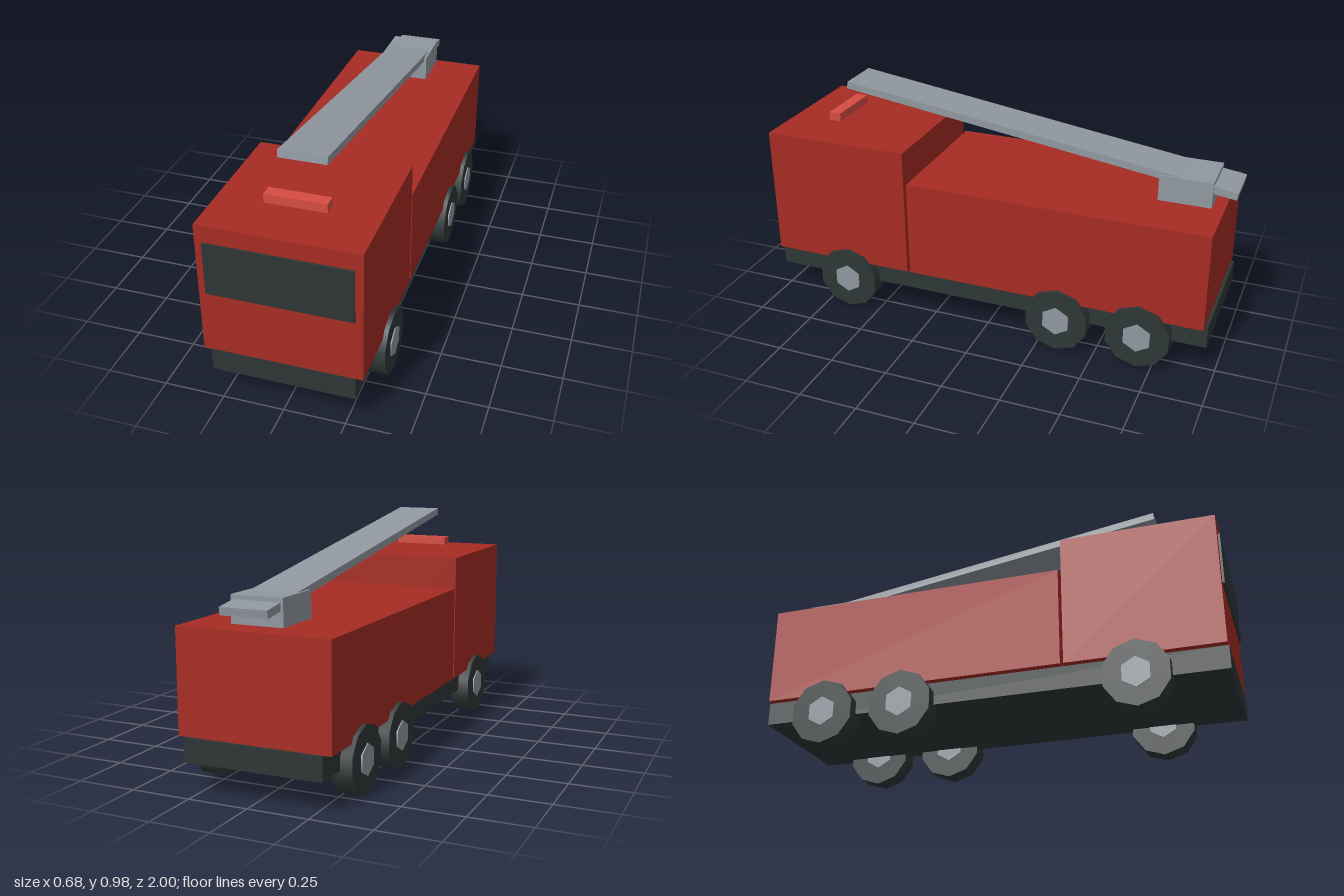
import * as THREE from 'three';

export function createModel() {
  const truck = new THREE.Group();
  truck.name = 'fireTruck';

  const paint = (name, color) => {
    const m = new THREE.MeshStandardMaterial({ color });
    m.name = name;
    return m;
  };
  const red = paint('red', 0xa62c23);
  const lightRed = paint('lightRed', 0xd64c42);
  const dark = paint('dark', 0x2e3636);
  const grey = paint('grey', 0x9098a0);

  const add = (name, geometry, material, parent = truck) => {
    const mesh = new THREE.Mesh(geometry, material);
    mesh.name = name;
    parent.add(mesh);
    return mesh;
  };

  // Box centred on x = 0, given its half width and its y and z ranges
  const block = (name, material, halfWidth, y0, y1, z0, z1) => {
    const mesh = add(name, new THREE.BoxGeometry(halfWidth * 2, y1 - y0, z1 - z0), material);
    mesh.position.set(0, (y0 + y1) / 2, (z0 + z1) / 2);
    return mesh;
  };

  // Chassis, cab and rear body
  block('chassis', dark, 0.288, 0.127, 0.223, -0.963, 0.993);
  block('cab', red, 0.319, 0.223, 0.782, 0.351, 0.99);
  block('rearBody', red, 0.319, 0.223, 0.643, -0.95, 0.338);
  block('windscreen', dark, 0.288, 0.49, 0.712, 0.991, 1.0);
  block('lightBar', lightRed, 0.124, 0.797, 0.833, 0.745, 0.799);

  // Ladder on its mount, rising towards the front
  block('ladderMount', grey, 0.108, 0.658, 0.767, -0.903, -0.684);
  const ladder = add('ladder', new THREE.BoxGeometry(0.195, 0.031, 1.73), grey);
  ladder.position.set(0, 0.841, -0.142);
  ladder.rotation.x = -0.14;

  // Wheels: ten-sided tyres with six-sided hubs, a corner pointing up
  const disc = (radius, width, sides) =>
    new THREE.CylinderGeometry(radius, radius, width, sides, 1, false, Math.PI / 2)
      .rotateZ(Math.PI / 2);
  const tyreGeometry = disc(0.139, 0.088, 10);
  const hubGeometry = disc(0.064, 0.098, 6);
  for (const z of [0.64, -0.338, -0.686]) {
    for (const side of [-1, 1]) {
      const wheel = new THREE.Group();
      wheel.name = 'wheel';
      wheel.position.set(side * 0.293, 0.139, z);
      add('tyre', tyreGeometry, dark, wheel);
      add('hub', hubGeometry, grey, wheel);
      truck.add(wheel);
    }
  }

  return truck;
}
